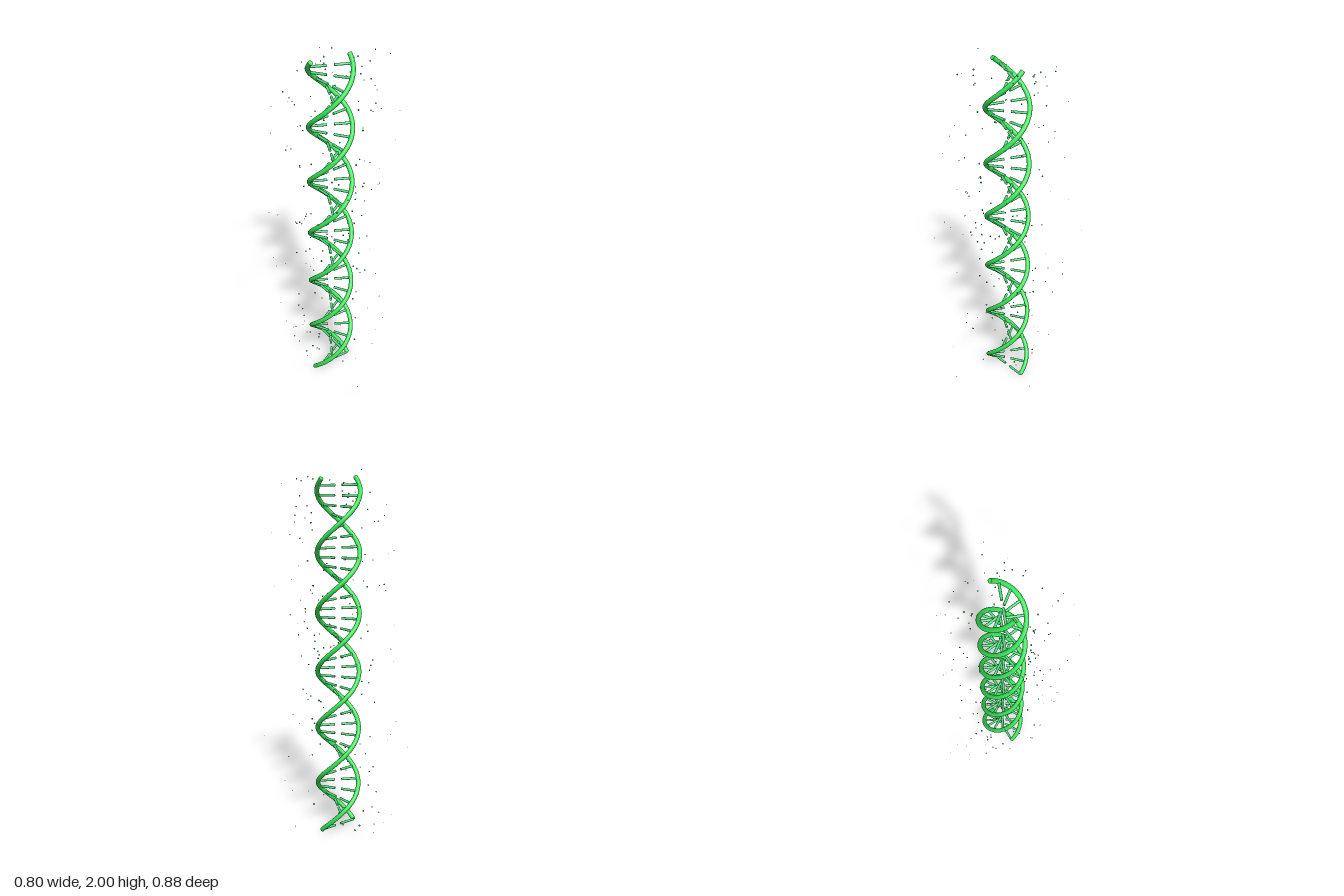
import * as THREE from 'three';
import { mergeGeometries } from 'three/addons/utils/BufferGeometryUtils.js';

const CX = -0.025, CZ = -0.014;        // helix axis
const Y0 = 0.01, Y1 = 1.963;           // strand ends
const R = 0.114, TUBE = 0.0125, TURNS = 3;

const strandGreen = new THREE.MeshStandardMaterial({ name: 'strand green', color: 0x36e055 });
const rungGreen = new THREE.MeshStandardMaterial({ name: 'rung green', color: 0x4fdc7c });
const speckGreen = new THREE.MeshStandardMaterial({ name: 'speck green', color: 0x3ddc60 });

// Point of a right-handed helix at height y
function helixPoint(y, phase, radius = R) {
  const a = phase + (y - Y0) / (Y1 - Y0) * TURNS * Math.PI * 2;
  return new THREE.Vector3(CX + radius * Math.cos(a), y, CZ - radius * Math.sin(a));
}

class Helix extends THREE.Curve {
  constructor(phase) {
    super();
    this.phase = phase;
  }
  getPoint(t, target = new THREE.Vector3()) {
    return target.copy(helixPoint(Y0 + t * (Y1 - Y0), this.phase));
  }
}

function seeded(seed) {
  return () => {
    seed = (seed * 1664525 + 1013904223) % 4294967296;
    return seed / 4294967296;
  };
}

// Round strand with a flat disc closing each end
function makeStrand(phase, name) {
  const group = new THREE.Group();
  group.name = name;
  const curve = new Helix(phase);
  const tube = new THREE.Mesh(new THREE.TubeGeometry(curve, 240, TUBE, 14, false), strandGreen);
  tube.name = name + 'Tube';
  group.add(tube);
  for (const t of [0, 1]) {
    const cap = new THREE.Mesh(new THREE.CircleGeometry(TUBE, 14), strandGreen);
    const out = curve.getTangent(t).multiplyScalar(t ? 1 : -1);
    cap.quaternion.setFromUnitVectors(new THREE.Vector3(0, 0, 1), out);
    cap.position.copy(curve.getPoint(t));
    cap.name = name + (t ? 'TopCap' : 'BottomCap');
    group.add(cap);
  }
  return group;
}

// Half rungs reaching from each strand almost to the axis
function makeRungs() {
  const group = new THREE.Group();
  group.name = 'rungs';
  const inner = 0.019;
  const geometry = new THREE.CylinderGeometry(0.007, 0.007, R - inner, 12);
  for (let i = 0; i < 36; i++) {
    const y = Y0 + i * 0.0547;
    for (const phase of [0, Math.PI]) {
      const rung = new THREE.Mesh(geometry, rungGreen);
      rung.position.copy(helixPoint(y, phase, (R + inner) / 2));
      const dir = helixPoint(y, phase, 1).sub(new THREE.Vector3(CX, y, CZ));
      rung.quaternion.setFromUnitVectors(new THREE.Vector3(0, 1, 0), dir);
      rung.name = 'halfRung';
      group.add(rung);
    }
  }
  return group;
}

// Tiny beads drifting around the helix, smaller with distance
function makeSpecks() {
  const random = seeded(11);
  const places = [
    [0.398, 1.13, -0.155], [-0.399, 0.92, -0.055], [-0.375, 1.8, 0], [0.358, 1.42, 0.035],
    [0.305, 1.54, -0.105], [-0.09, 0.9, -0.39], [-0.16, 0.56, -0.438], [-0.085, 1.1, 0.437],
    [-0.075, 1.58, 0.37], [-0.21, 1.997, 0.02], [0.23, 0.5, 0.345], [-0.025, 1.2, 0.28],
  ];
  for (let i = 0; i < 165; i++) {
    const a = random() * Math.PI * 2;
    const r = 0.14 + 0.22 * Math.pow(random(), 1.8);
    places.push([CX + r * Math.cos(a), 0.03 + 1.94 * random(), CZ + r * Math.sin(a)]);
  }
  const parts = places.map(([x, y, z]) => {
    const far = Math.hypot(x - CX, z - CZ);
    const size = THREE.MathUtils.clamp(0.0068 - 0.013 * far, 0.0015, 0.005) * (0.7 + 0.4 * random());
    return new THREE.SphereGeometry(size, 8, 6).translate(x, y, z);
  });
  const specks = new THREE.Mesh(mergeGeometries(parts), speckGreen);
  specks.name = 'floatingSpecks';
  return specks;
}

export function createModel() {
  const model = new THREE.Group();
  model.name = 'doubleHelix';
  model.add(makeStrand(0, 'firstStrand'), makeStrand(Math.PI, 'secondStrand'), makeRungs(), makeSpecks());
  return model;
}
